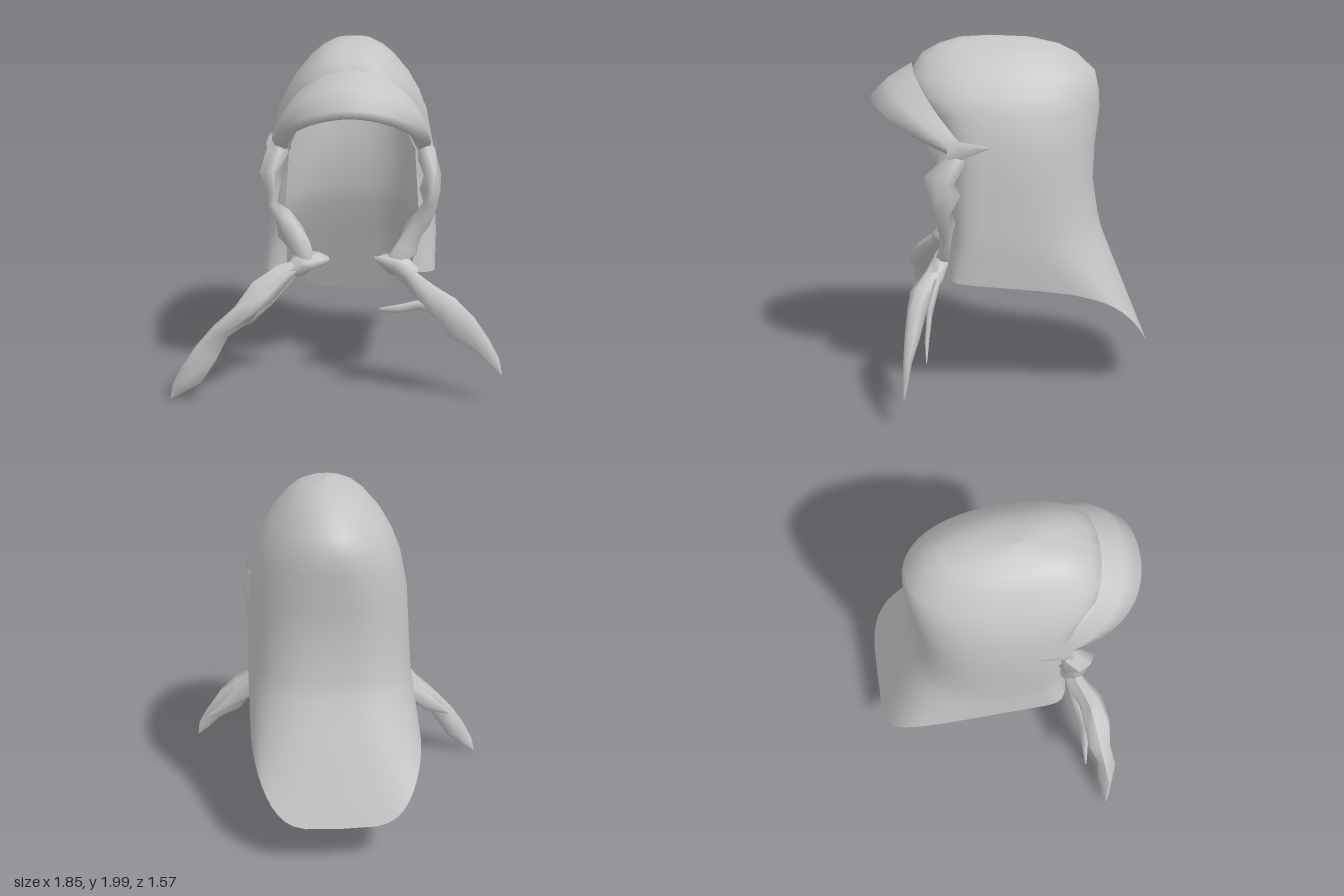
import * as THREE from 'three';

const cloth = new THREE.MeshStandardMaterial({ color: 0xc4c4c4, side: THREE.DoubleSide });
cloth.name = 'greyCloth';
const CX = 0.09; // the garment sits a little off the centre line

let seed = 7;
const rand = () => ((seed = (seed * 16807) % 2147483647) / 2147483647) * 2 - 1;
const lerp = THREE.MathUtils.lerp;

// Smooth sheet from a rule giving a point for each row and column
function sheet(name, rows, cols, rule) {
  const pos = [], index = [];
  for (let r = 0; r <= rows; r++) for (let c = 0; c <= cols; c++) pos.push(...rule(r, c));
  for (let r = 0; r < rows; r++) for (let c = 0; c < cols; c++) {
    const a = r * (cols + 1) + c, b = a + cols + 1;
    index.push(a, b, a + 1, b, b + 1, a + 1);
  }
  const g = new THREE.BufferGeometry();
  g.setAttribute('position', new THREE.Float32BufferAttribute(pos, 3));
  g.setIndex(index);
  g.computeVertexNormals();
  const mesh = new THREE.Mesh(g, cloth);
  mesh.name = name;
  return mesh;
}

// Crumpled roll of cloth along points [x, y, z, half width, half depth]
function crumple(name, pts, noise = 0.4, sides = 7) {
  const path = pts.map(p => new THREE.Vector3(p[0], p[1], p[2]));
  const rings = path.map((p, i) => {
    const t = path[Math.min(i + 1, path.length - 1)].clone().sub(path[Math.max(i - 1, 0)]).normalize();
    const across = t.clone().cross(new THREE.Vector3(0, 0, 1)).normalize();
    const depth = across.clone().cross(t);
    return Array.from({ length: sides }, (_, k) => {
      const a = k / sides * Math.PI * 2, f = 1 + noise * rand();
      return p.clone().addScaledVector(across, Math.cos(a) * pts[i][3] * f)
        .addScaledVector(depth, Math.sin(a) * pts[i][4] * f).toArray();
    });
  });
  return sheet(name, pts.length - 1, sides, (r, c) => rings[r][c % sides]);
}

// Hood levels: y, half width, back z, front z, wrap (1 = closed in front), squareness, centre x
const levels = [
  [2.0, 0, 0.12, 0.12, 1, 0.95, CX], [1.985, 0.1, -0.12, 0.3, 1, 0.95, CX], [1.95, 0.17, -0.27, 0.41, 1, 0.95, CX],
  [1.9, 0.23, -0.37, 0.5, 1, 0.93, CX], [1.8, 0.315, -0.475, 0.57, 1, 0.92, CX], [1.7, 0.375, -0.495, 0.56, 0.98, 0.9, CX],
  [1.6, 0.415, -0.5, 0.48, 0.84, 0.87, CX], [1.4, 0.455, -0.475, 0.39, 0.78, 0.8, CX], [1.2, 0.465, -0.465, 0.38, 0.78, 0.75, CX],
  [1.0, 0.475, -0.495, 0.37, 0.78, 0.7, CX], [0.9, 0.48, -0.52, 0.37, 0.8, 0.66, CX], [0.62, 0.49, -0.78, 0.38, 0.89, 0.42, 0.075],
];
const HEM = 4; // extra rows down to the hem

function hood() {
  const cols = 48, last = levels.length - 2;
  return sheet('hood', last + HEM, cols, (r, c) => {
    const t = Math.max(0, (r - last) / HEM);
    const top = levels[Math.min(r, last)];
    const [, w, zb, zf, wrap, e, cx] = top.map((v, i) => lerp(v, levels[last + 1][i], t));
    const a = (c / cols * 2 - 1) * wrap * Math.PI;
    const co = Math.cos(a), si = Math.sin(a);
    const zm = Math.min(0.12, zf), p = co > 0 ? e : e * 0.75; // squarer towards the face
    const x = cx + w * Math.sign(si) * Math.abs(si) ** p;
    const z = zm + (co > 0 ? zb - zm : zf - zm) * Math.abs(co) ** p;
    // the hem hangs low behind and rises gently to the throat
    const hemY = 0.665 + 0.1 * Math.max(-0.45, z) - 0.37 * Math.max(0, co) ** 2.2;
    return [x, lerp(top[0], hemY, t), z];
  });
}

// Brim: rows of x reach, y and its fall, z and its sweep back
const brimRows = [
  [0.42, 1.85, 0.47, 0.555, 0.34], [0.44, 1.77, 0.38, 0.69, 0.42], [0.43, 1.67, 0.27, 0.79, 0.48],
  [0.37, 1.62, 0.24, 0.74, 0.42], [0.34, 1.63, 0.24, 0.5, 0.2],
];
const brim = () => sheet('brim', brimRows.length - 1, 24, (r, c) => {
  const u = c / 12 - 1, [w, y, fall, z, sweep] = brimRows[r];
  return [CX + w * Math.sin(u * Math.PI / 2), y - fall * Math.abs(u) ** 1.8, z - sweep * Math.abs(u) ** 2.2];
});

// Rolled cloth at each side of the face, ending in a bunch at the throat
function sideFolds(m) {
  const g = new THREE.Group();
  g.name = m > 0 ? 'leftFolds' : 'rightFolds';
  const at = list => list.map(([x, ...rest]) => [CX + m * x, ...rest]);
  g.add(
    crumple('edgeRoll', at([
      [0.38, 1.5, 0.34, 0.005, 0.01], [0.41, 1.38, 0.32, 0.05, 0.05], [0.44, 1.27, 0.4, 0.05, 0.08],
      [0.43, 1.18, 0.38, 0.045, 0.08], [0.44, 1.1, 0.39, 0.035, 0.06], [0.39, 1.02, 0.38, 0.045, 0.05],
      [0.34, 0.94, 0.37, 0.06, 0.04], [0.29, 0.85, 0.38, 0.07, 0.04], [0.24, 0.76, 0.4, 0.06, 0.05],
      [0.24, 0.72, 0.41, 0.005, 0.005]])),
    crumple('throatBunch', at([
      [0.36, 0.71, 0.42, 0.03, 0.04], [0.29, 0.75, 0.41, 0.06, 0.06], [0.23, 0.76, 0.4, 0.06, 0.06],
      [0.17, 0.78, 0.4, 0.035, 0.04], [0.13, 0.78, 0.38, 0.01, 0.01]])),
    // pointed fold sweeping back under the brim
    sheet('pointedFold', 2, 3, (r, c) => {
      const k = c / 3, h = [0.07, 0, -0.07][r] * (1 - k);
      return [CX + m * (0.44 + (r === 1 ? 0.035 : 0.01) * (1 - k) + 0.02 * k), 1.43 + h + 0.02 * k, lerp(0.36, 0.12, k)];
    }));
  return g;
}

export function createModel() {
  const model = new THREE.Group();
  model.name = 'hoodedScarf';
  model.add(hood(), brim(), sideFolds(1), sideFolds(-1));

  // Long right tail with a second layer of cloth
  model.add(
    crumple('rightTail', [
      [-0.16, 0.77, 0.41, 0.04, 0.05], [-0.28, 0.7, 0.44, 0.05, 0.07], [-0.4, 0.61, 0.5, 0.06, 0.08],
      [-0.52, 0.5, 0.53, 0.065, 0.08], [-0.63, 0.4, 0.55, 0.07, 0.07], [-0.71, 0.28, 0.57, 0.075, 0.06],
      [-0.8, 0.17, 0.59, 0.065, 0.05], [-0.87, 0.07, 0.57, 0.035, 0.02], [-0.92, 0.01, 0.57, 0.005, 0.005]]),
    crumple('rightTailLayer', [
      [-0.22, 0.72, 0.4, 0.03, 0.03], [-0.38, 0.58, 0.44, 0.045, 0.03], [-0.5, 0.47, 0.46, 0.05, 0.02],
      [-0.6, 0.41, 0.46, 0.04, 0.02], [-0.73, 0.34, 0.45, 0.004, 0.004]]));

  // Left tail, flat and pointed, with a short prong towards the middle
  model.add(
    crumple('leftTail', [
      [0.34, 0.76, 0.41, 0.04, 0.05], [0.42, 0.7, 0.45, 0.05, 0.06], [0.51, 0.61, 0.51, 0.075, 0.06],
      [0.61, 0.54, 0.54, 0.09, 0.05], [0.71, 0.45, 0.56, 0.08, 0.04], [0.81, 0.35, 0.58, 0.06, 0.025],
      [0.88, 0.26, 0.59, 0.035, 0.015], [0.92, 0.19, 0.6, 0.004, 0.004]], 0.2),
    crumple('leftProng', [
      [0.56, 0.57, 0.53, 0.05, 0.03], [0.46, 0.56, 0.52, 0.03, 0.03], [0.36, 0.54, 0.52, 0.025, 0.02],
      [0.25, 0.525, 0.51, 0.015, 0.005]], 0.2),
    crumple('leftTailLayer', [
      [0.45, 0.68, 0.43, 0.03, 0.02], [0.6, 0.55, 0.47, 0.05, 0.015], [0.75, 0.43, 0.48, 0.03, 0.01],
      [0.85, 0.36, 0.48, 0.003, 0.003]]));
  return model;
}
